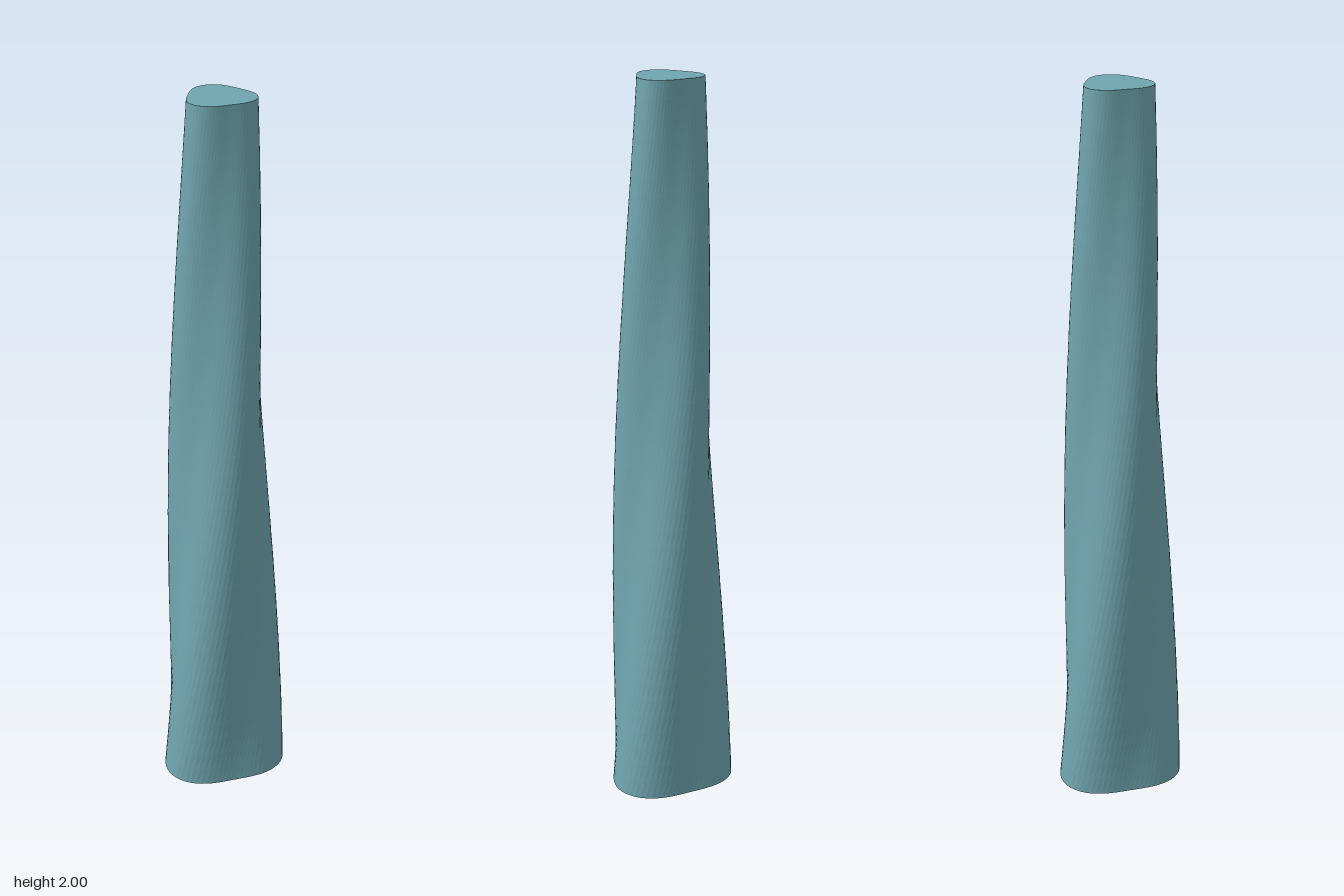
import * as THREE from 'three';

const HEIGHT = 2, SIDES = 72, FLOORS = 40;
const rad = THREE.MathUtils.degToRad;

// Rounded-triangle section that shrinks and turns with height
function twistedShaft() {
  const geo = new THREE.CylinderGeometry(1, 1, HEIGHT, SIDES, FLOORS);
  geo.translate(0, HEIGHT / 2, 0);
  const p = geo.attributes.position;
  for (let i = 0; i < p.count; i++) {
    const x = p.getX(i), y = p.getY(i), z = p.getZ(i);
    const angle = Math.atan2(-z, x);
    const size = 0.169 - 0.0402 * y;
    const r = Math.hypot(x, z) * size * (1 + 0.105 * Math.cos(3 * angle));
    const turned = angle + rad(1 + 62 * y);
    p.setXYZ(i, r * Math.cos(turned) - 0.018, y, -r * Math.sin(turned));
  }
  geo.computeVertexNormals();
  return geo;
}

export function createModel() {
  const group = new THREE.Group();
  group.name = 'twistedTower';

  // Faceted shaft, closed by a flat roof and a flat base
  const shaft = new THREE.Mesh(
    twistedShaft(),
    new THREE.MeshStandardMaterial({ color: 0x70a5b0, flatShading: true })
  );
  shaft.name = 'towerShaft';
  group.add(shaft);

  return group;
}
